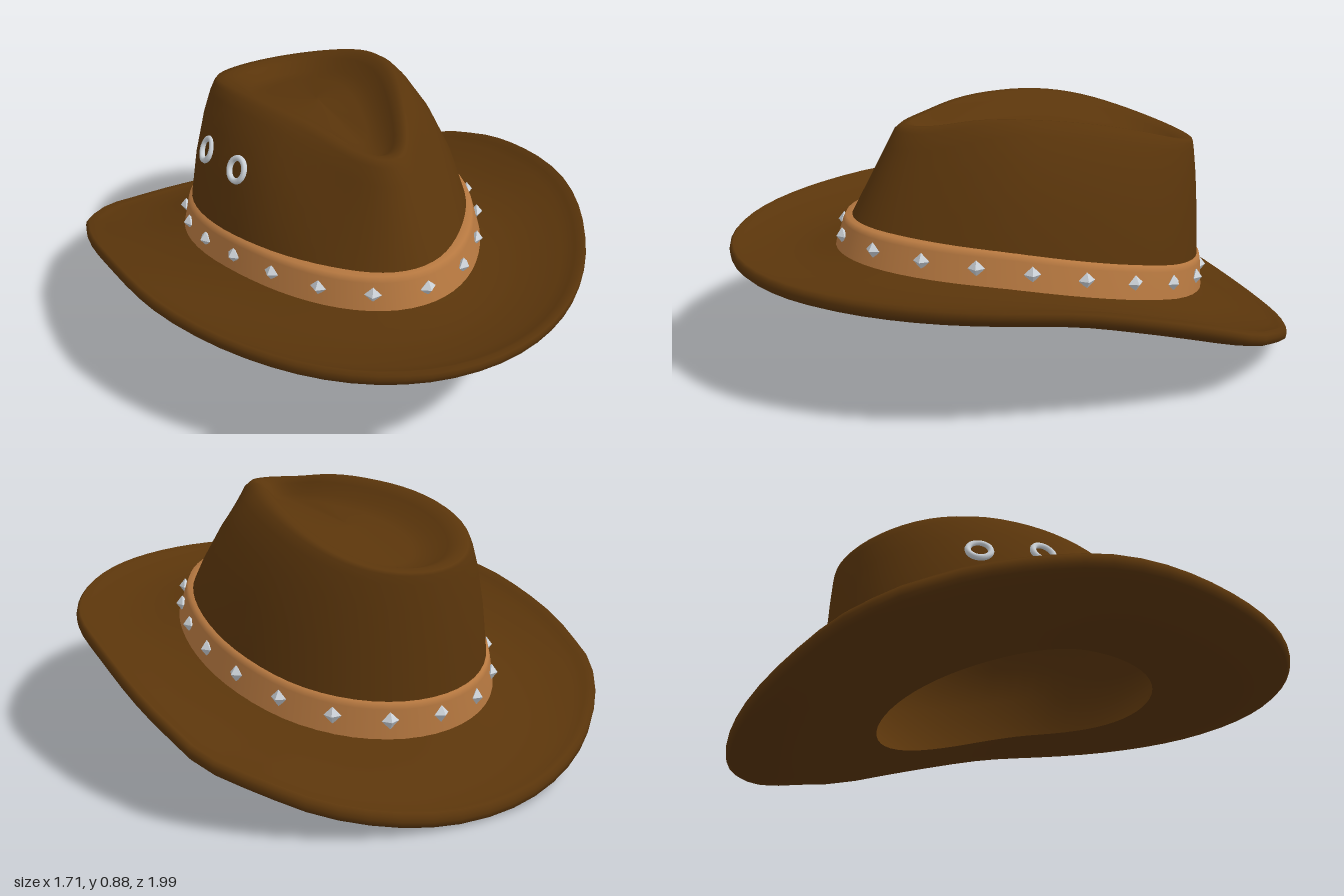
import * as THREE from 'three';

const N = 64;
const felt = new THREE.MeshStandardMaterial({ color: 0x5a350b });
felt.name = 'brown felt';
const leather = new THREE.MeshStandardMaterial({ color: 0xb67840 });
leather.name = 'tan leather';
const silver = new THREE.MeshStandardMaterial({ color: 0xccd2d8 });
silver.name = 'silver';

// Smooth lookup through [position, value] pairs
function curve(pts) {
  const last = pts.length - 1;
  const slope = (i) => {
    const [a, va] = pts[Math.max(i - 1, 0)], [b, vb] = pts[Math.min(i + 1, last)];
    return (vb - va) / (b - a);
  };
  return (p) => {
    if (p <= pts[0][0]) return pts[0][1];
    if (p >= pts[last][0]) return pts[last][1];
    const i = pts.findIndex(([b]) => p <= b);
    const [a, va] = pts[i - 1], [b, vb] = pts[i];
    const h = b - a, t = (p - a) / h, t2 = t * t, t3 = t2 * t;
    return va * (2 * t3 - 3 * t2 + 1) + vb * (3 * t2 - 2 * t3)
      + h * (slope(i - 1) * (t3 - 2 * t2 + t) + slope(i) * (t3 - t2));
  };
}

// Heights along z of the crown base, crown ridge, brim edge and head opening
const baseY = curve([[-0.71, 0.2], [-0.5, 0.25], [-0.3, 0.3], [0, 0.36], [0.2, 0.39], [0.63, 0.42]]);
const ridgeY = curve([[-0.68, 0.725], [-0.4, 0.82], [-0.2, 0.863], [0, 0.88], [0.15, 0.877], [0.3, 0.852], [0.4, 0.84]]);
const edgeY = curve([[-1, 0.028], [-0.94, 0.065], [-0.85, 0.115], [-0.74, 0.178], [-0.62, 0.225], [-0.5, 0.272],
  [-0.3, 0.34], [0, 0.412], [0.2, 0.433], [0.6, 0.435], [1, 0.432]]);
const openY = curve([[-0.5, 0.15], [-0.2, 0.25], [0, 0.308], [0.15, 0.332], [0.5, 0.34]]);
const edgeWidth = curve([[-1, 1.04], [-0.86, 1.02], [-0.6, 0.985], [-0.45, 0.93], [-0.1, 0.86],
  [0.29, 0.84], [0.67, 0.81], [1, 0.8]]);

// Egg-shaped ring, narrower to the front; width is a function of cos(angle)
function ring(width, back, front, height) {
  return Array.from({ length: N }, (_, i) => {
    const t = (i / N) * Math.PI * 2, c = Math.cos(t);
    const z = (front + back) / 2 + ((front - back) / 2) * c;
    return new THREE.Vector3(width(c) * Math.sin(t), height(z), z);
  });
}
const egg = (w, back, front, height) => ring((c) => w * (1 - 0.146 * c), back, front, height);

// Teardrop ring with a blunt tip, sunk below the ridge line
const teardrop = (w, back, front, depth) =>
  ring((c) => w * (1 - 0.52 * c) * (1 + 0.3 * Math.max(c, 0) ** 4), back, front, (z) => ridgeY(z) - depth);

// Blend two rings: s moves sideways, v(point) moves in height, dy shifts the result
const blend = (a, b, s, v, dy = 0) => a.map((p, i) => {
  const q = p.clone().lerp(b[i], s);
  q.y = p.y + (b[i].y - p.y) * v(p) + dy;
  return q;
});

// Smooth skin over a list of rings
function loft(name, rings, material) {
  const pos = [], index = [];
  rings.forEach((r) => r.forEach((p) => pos.push(p.x, p.y, p.z)));
  for (let i = 0; i < rings.length - 1; i++) {
    for (let j = 0; j < N; j++) {
      const k = (j + 1) % N, a = i * N + j, b = i * N + k, c = a + N, d = b + N;
      index.push(a, c, b, b, c, d);
    }
  }
  const g = new THREE.BufferGeometry();
  g.setAttribute('position', new THREE.Float32BufferAttribute(pos, 3));
  g.setIndex(index);
  g.computeVertexNormals();
  const mesh = new THREE.Mesh(g, material);
  mesh.name = name;
  return mesh;
}

export function createModel() {
  const hat = new THREE.Group();
  hat.name = 'hat';

  const base = egg(0.49, -0.705, 0.622, baseY);
  const ridge = teardrop(0.268, -0.68, 0.39, 0);
  const edge = ring(edgeWidth, -1, 0.992, edgeY);
  const opening = ring((c) => 0.415 * (1 + 0.12 * c * c) * (1 - 0.07 * c), -0.5, 0.48, openY);

  // Crown wall: bulges at the sides and back, runs straight at the front
  const wall = (s, bulge, dy) => blend(base, ridge, s,
    (p) => THREE.MathUtils.lerp(bulge, Math.min(s * 1.06, 0.98), THREE.MathUtils.smoothstep(p.z, 0.1, 0.55)), dy);

  // Crown: teardrop crease, rounded ridge, sloping wall
  hat.add(loft('crown', [
    teardrop(0, -0.22, -0.18, 0.085),
    teardrop(0.12, -0.5, 0.17, 0.083),
    teardrop(0.175, -0.565, 0.275, 0.064),
    teardrop(0.215, -0.615, 0.325, 0.024),
    teardrop(0.243, -0.65, 0.36, 0.004),
    ridge,
    wall(0.9, 0.98),
    wall(0.78, 0.925),
    wall(0.55, 0.77),
    wall(0.3, 0.51),
    wall(0.12, 0.22),
    base,
  ], felt));

  // Brim: dished top, rounded edge, fuller underside
  const brim = (inner, s, v, dy) => blend(inner, edge, s, () => v, dy);
  const top = [0, 0.2, 0.4, 0.6, 0.8, 0.9].map((s) => brim(base, s, s, 0.022 * s - 0.12 * s * (1 - s)));
  const under = [0.9, 0.75, 0.55, 0.35, 0.15, 0].map((s) => brim(opening, s, s, -0.025 * s - 0.14 * s * (1 - s)));
  hat.add(loft('brim', [
    ...top,
    brim(base, 0.965, 0.98, 0.024),
    brim(base, 0.992, 1, 0.014),
    edge,
    brim(base, 0.992, 1, -0.016),
    brim(opening, 0.97, 0.98, -0.026),
    ...under,
  ], felt));

  // Hollow inside of the crown
  const inside = (s, bulge, scale, dy) =>
    wall(s, bulge, dy).map((p) => p.set(p.x * scale, p.y, p.z * scale));
  hat.add(loft('lining', [
    opening,
    inside(0.1, 0.2, 0.92, 0),
    inside(0.3, 0.51, 0.92, -0.04),
    inside(0.6, 0.8, 0.92, -0.08),
    inside(1, 0.9, 0.8, -0.08),
    teardrop(0, -0.22, -0.18, 0.14),
  ], felt));

  // Band around the crown base
  const bandTop = (z) => baseY(z) + 0.11;
  hat.add(loft('band', [
    egg(0.455, -0.695, 0.55, bandTop),
    egg(0.477, -0.711, 0.588, bandTop),
    egg(0.485, -0.714, 0.598, (z) => baseY(z) + 0.09),
    egg(0.512, -0.718, 0.632, (z) => baseY(z) - 0.015),
  ], leather));

  // Evenly spaced studs on the band
  const path = new THREE.CatmullRomCurve3(egg(0.498, -0.716, 0.614, (z) => baseY(z) + 0.055), true);
  const studShape = new THREE.OctahedronGeometry(0.029).scale(1, 1, 0.75);
  const studs = new THREE.Group();
  studs.name = 'studs';
  const up = new THREE.Vector3(0, 1, 0);
  for (let i = 0; i < 20; i++) {
    const u = i / 20 + 0.006;
    const stud = new THREE.Mesh(studShape, silver);
    stud.name = 'stud';
    stud.position.copy(path.getPointAt(u));
    stud.lookAt(path.getTangentAt(u).cross(up).add(stud.position));
    studs.add(stud);
  }
  hat.add(studs);

  // Two vent eyelets on one side of the crown
  const eyeletShape = new THREE.TorusGeometry(0.04, 0.011, 8, 24);
  [[-0.413, 0.65, -0.24, -0.08], [-0.388, 0.685, -0.01, 0.2]].forEach(([x, y, z, nz]) => {
    const eyelet = new THREE.Mesh(eyeletShape, silver);
    eyelet.name = 'eyelet';
    eyelet.position.set(x, y, z);
    eyelet.lookAt(x - 0.9, y + 0.42, z + nz);
    hat.add(eyelet);
  });

  return hat;
}
